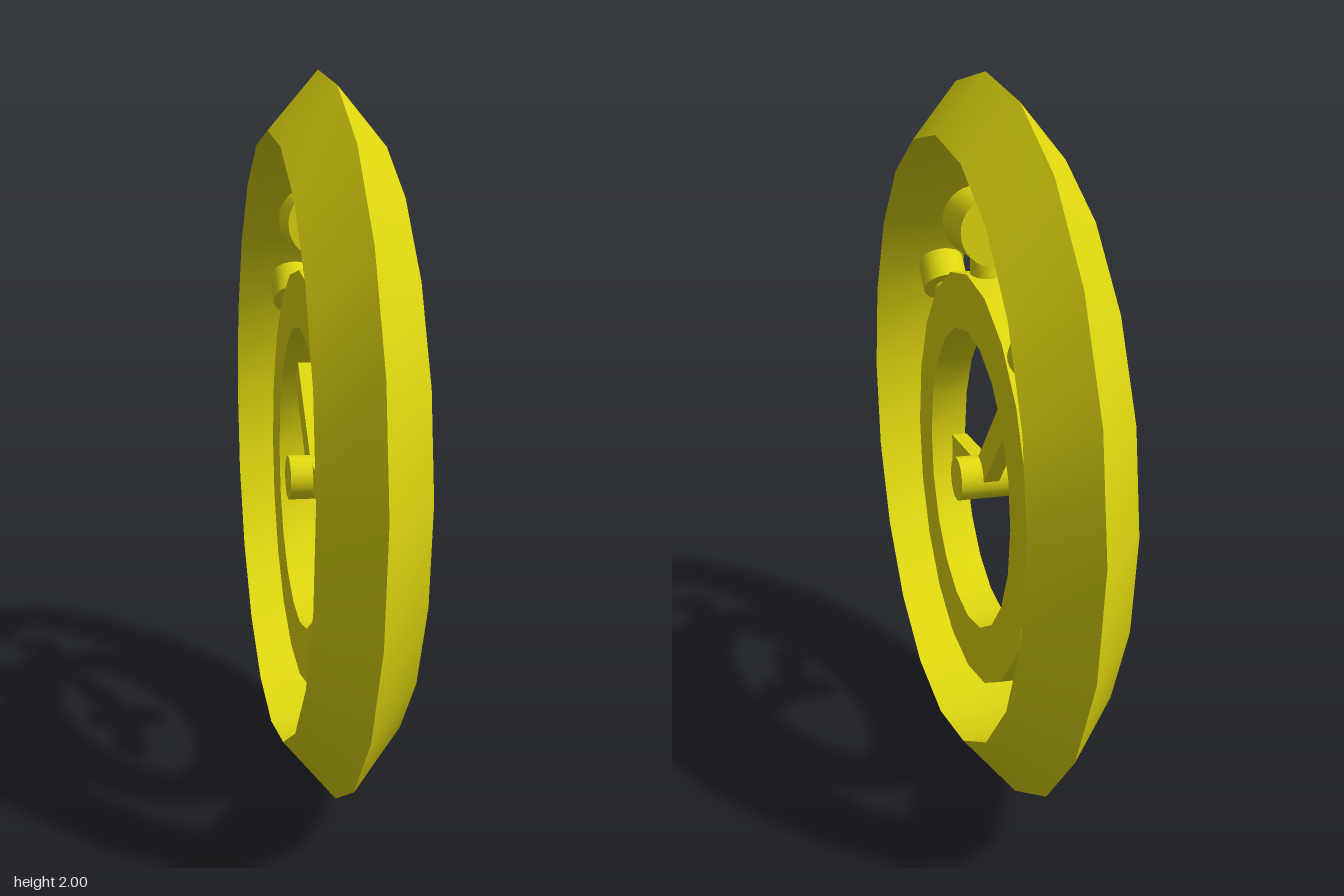
import * as THREE from 'three';
import { toCreasedNormals } from 'three/addons/utils/BufferGeometryUtils.js';

export function createModel() {
  const model = new THREE.Group();
  model.name = 'stopwatchMedallion';
  const mat = new THREE.MeshStandardMaterial({ color: 0xe0d80f });

  const add = (parent, name, geometry) => {
    const mesh = new THREE.Mesh(geometry, mat);
    mesh.name = name;
    parent.add(mesh);
    return mesh;
  };

  // Closed profile (radius, offset) turned into a 20-sided ring around the x axis
  const ring = (profile) => {
    const points = [...profile, profile[0]].map(([r, h]) => new THREE.Vector2(r, h));
    return toCreasedNormals(new THREE.LatheGeometry(points, 20).rotateZ(Math.PI / 2), 0.5);
  };

  // Everything lies in a disc that is turned slightly about the vertical
  const disc = new THREE.Group();
  disc.name = 'disc';
  disc.rotation.y = 0.09;
  model.add(disc);

  // Outer hoop with a ridged rim
  add(disc, 'outerRing', ring([[0.84, -0.137], [1, 0], [0.84, 0.137]])).position.y = 1;

  // Watch, centred on its hub
  const watch = new THREE.Group();
  watch.name = 'watch';
  watch.position.y = 0.882;
  disc.add(watch);
  add(watch, 'watchCase', ring([[0.425, -0.053], [0.582, -0.053], [0.582, 0.053], [0.425, 0.053]]));
  add(watch, 'hub', new THREE.CylinderGeometry(0.062, 0.062, 0.17, 24).rotateZ(Math.PI / 2));

  // Hands: angle from straight up, positive towards the front
  for (const [name, angle, length] of [['minuteHand', -Math.PI / 4, 0.37], ['hourHand', 1.59, 0.29]]) {
    const hand = add(watch, name, new THREE.BoxGeometry(0.045, length, 0.082).translate(0, length / 2, 0));
    hand.rotation.x = angle;
  }

  // Crown: short stem under a cylinder lying front to back
  add(watch, 'crownStem', new THREE.CylinderGeometry(0.042, 0.042, 0.12, 24)).position.y = 0.61;
  const crown = add(watch, 'crown', new THREE.CylinderGeometry(0.095, 0.095, 0.195, 32).rotateX(Math.PI / 2));
  crown.position.y = 0.713;

  // Push buttons on either side of the crown
  for (const side of [-1, 1]) {
    const button = new THREE.Group();
    button.name = side > 0 ? 'frontButton' : 'backButton';
    button.rotation.x = side * 0.77;
    watch.add(button);
    add(button, 'buttonStem', new THREE.CylinderGeometry(0.036, 0.036, 0.1, 20)).position.y = 0.6;
    add(button, 'buttonCap', new THREE.CylinderGeometry(0.067, 0.067, 0.093, 24)).position.y = 0.679;
  }
  return model;
}
